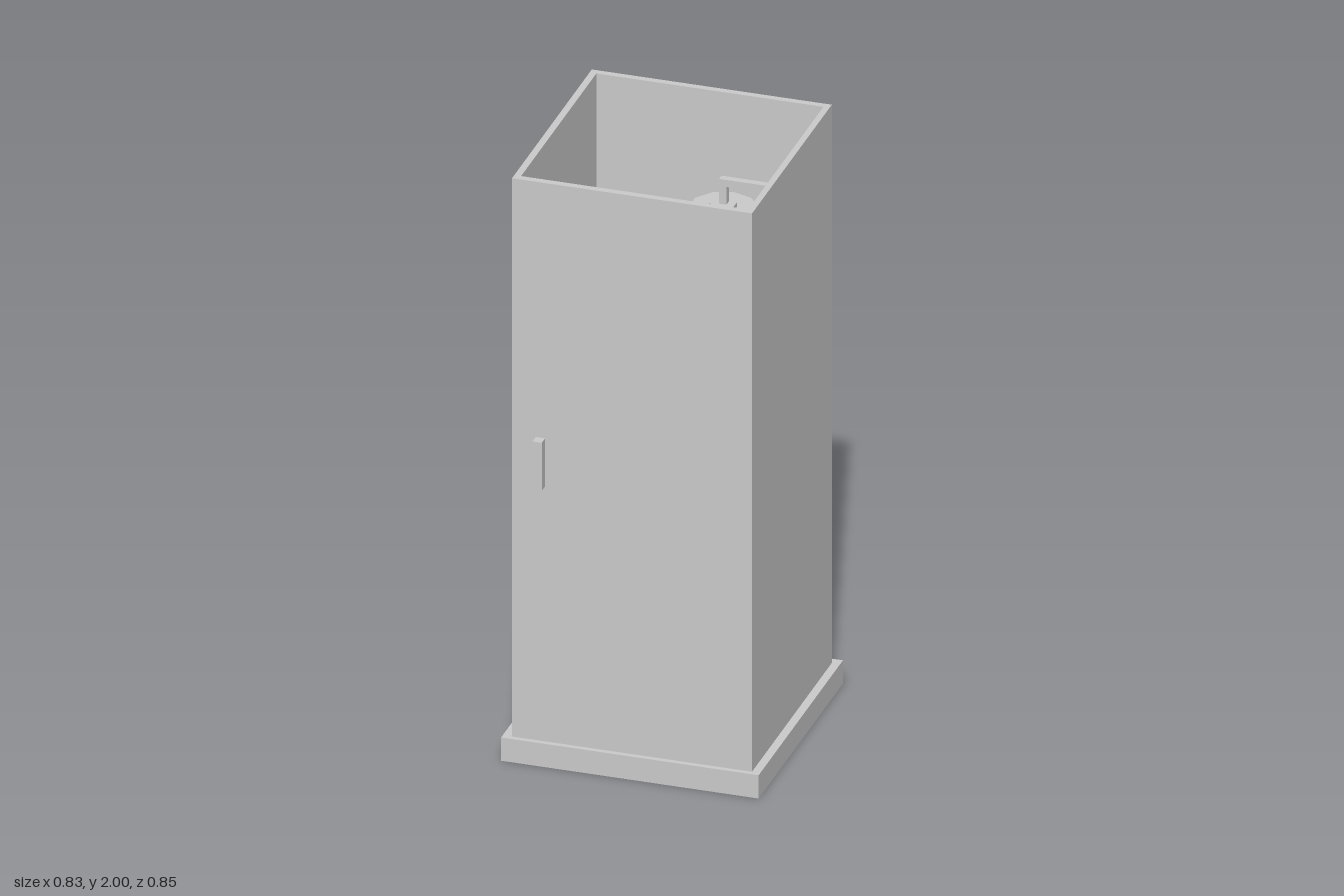
import * as THREE from 'three';

const mat = new THREE.MeshStandardMaterial({ color: 0xcccccc, flatShading: true });

export function createModel() {
  const model = new THREE.Group();
  const add = (name, geometry, x = 0, y = 0, z = 0) => {
    const mesh = new THREE.Mesh(geometry, mat);
    mesh.name = name;
    mesh.position.set(x, y, z);
    model.add(mesh);
    return mesh;
  };
  // Box given by its lower and upper limits on each axis
  const box = (name, x0, x1, y0, y1, z0, z1) => add(name,
    new THREE.BoxGeometry(x1 - x0, y1 - y0, z1 - z0),
    (x0 + x1) / 2, (y0 + y1) / 2, (z0 + z1) / 2);

  // Shower tray: floor slab with a raised rim
  const floorY = 0.045, rimY = 0.08;
  box('trayFloor', -0.417, 0.417, 0, floorY, -0.425, 0.407);
  box('trayRimBack', -0.417, 0.417, floorY, rimY, -0.425, -0.355);
  box('trayRimFront', -0.417, 0.417, floorY, rimY, 0.337, 0.407);
  box('trayRimRight', -0.417, -0.35, floorY, rimY, -0.355, 0.337);
  box('trayRimLeft', 0.345, 0.417, floorY, rimY, -0.355, 0.337);

  // Cabin walls, open at the top
  box('backWall', -0.387, 0.39, rimY, 2, -0.397, -0.375);
  box('frontDoor', -0.387, 0.39, rimY, 2, 0.367, 0.39);
  box('rightWall', -0.387, -0.365, rimY, 2, -0.375, 0.367);
  box('leftWall', 0.37, 0.39, rimY, 2, -0.375, 0.367);

  // Door handle
  box('doorHandle', -0.31, -0.28, 0.957, 1.122, 0.39, 0.422);

  // Tiles lining the lower back and left walls
  const tile = 0.1825, gap = 0.002;
  for (let row = 0; row < 7; row++) {
    const y = rimY + row * tile;
    for (let col = 0; col < 4; col++) {
      const s = -0.363 + col * tile;
      box('backTile', s, s + tile - gap, y, y + tile - gap, -0.375, -0.369);
      box('leftTile', 0.366, 0.37, y, y + tile - gap, s, s + tile - gap);
    }
  }

  // Shower head: ten-sided flared rose with a collar
  const hx = 0.167, hz = -0.005;
  add('showerHead', new THREE.CylinderGeometry(0.107, 0.135, 0.05, 10), hx, 1.775, hz);
  add('headCollar', new THREE.CylinderGeometry(0.042, 0.042, 0.015, 10), hx, 1.8075, hz);

  // Square pipe: drop to the head, arm across, riser down to the valve
  const z0 = -0.018, z1 = 0.006;
  box('headPipe', 0.157, 0.181, 1.81, 1.876, z0, z1);
  box('showerArm', 0.157, 0.35, 1.876, 1.9, z0, z1);
  box('riserPipe', 0.326, 0.35, 1.08, 1.876, z0, z1);

  // Mixer valve and the small control beside it
  box('mixerValve', 0.317, 0.366, 1.0, 1.08, -0.105, 0.097);
  box('controlBox', 0.318, 0.366, 1.015, 1.065, 0.1, 0.15);
  box('controlKnob', 0.335, 0.347, 1.065, 1.085, 0.118, 0.131);

  return model;
}
